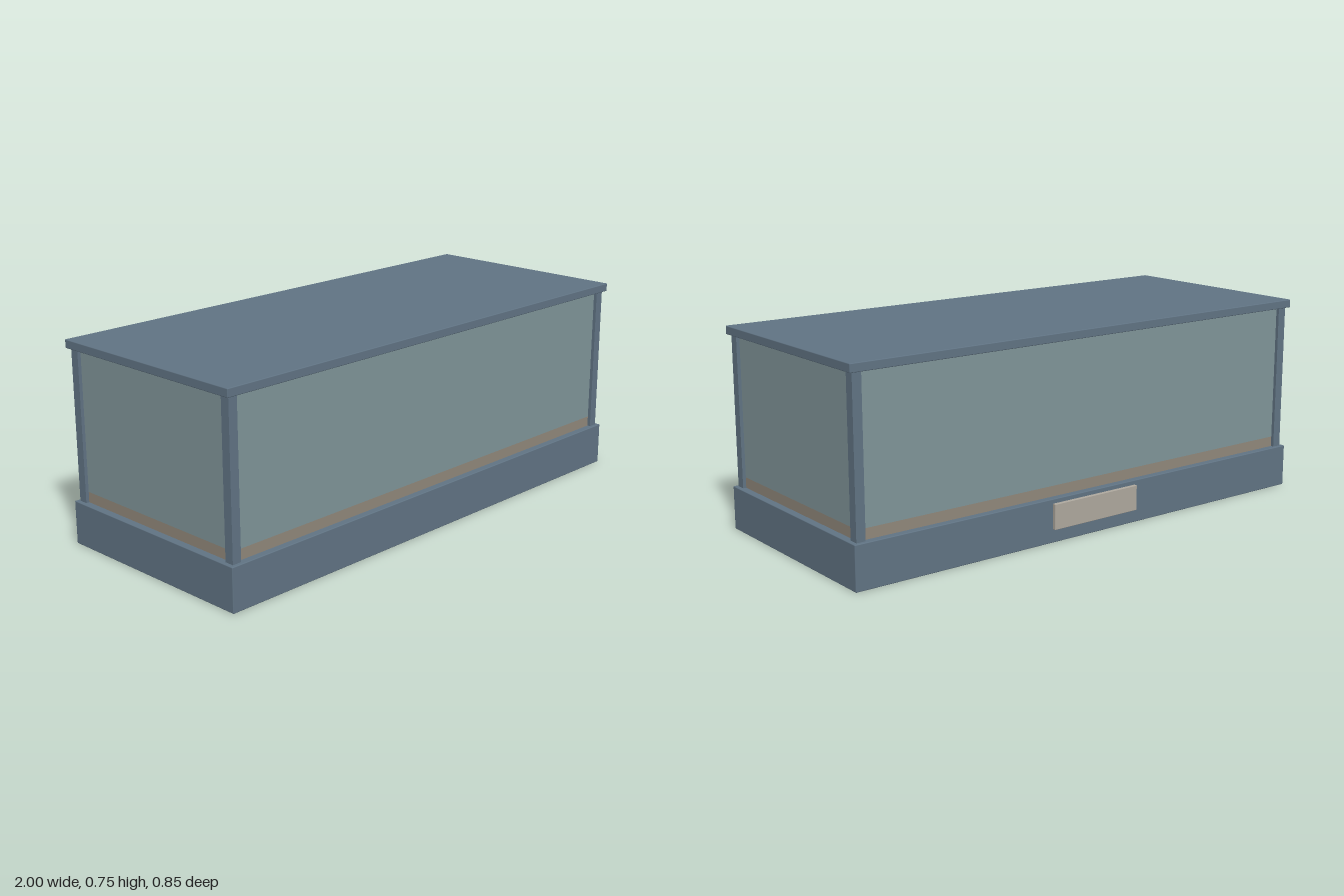
import * as THREE from 'three';
import { RoundedBoxGeometry } from 'three/addons/geometries/RoundedBoxGeometry.js';

const material = (name, color) => {
  const m = new THREE.MeshStandardMaterial({ color });
  m.name = name;
  return m;
};

export function createModel() {
  const frame = material('slate frame', 0x607383);
  const glass = material('grey green glass', 0x7f9498);
  const sand = material('sand behind glass', 0x90877a);
  const plate = material('pale metal', 0xada79d);

  const model = new THREE.Group();
  model.name = 'displayCase';

  // Box given by its limits on each axis, with an optional tiny edge radius
  function box(name, mat, [x0, x1], [y0, y1], [z0, z1], radius = 0) {
    const size = [x1 - x0, y1 - y0, z1 - z0];
    const geometry = radius
      ? new RoundedBoxGeometry(...size, 2, radius)
      : new THREE.BoxGeometry(...size);
    const mesh = new THREE.Mesh(geometry, mat);
    mesh.name = name;
    mesh.position.set((x0 + x1) / 2, (y0 + y1) / 2, (z0 + z1) / 2);
    model.add(mesh);
  }

  // Plinth and lid
  box('base', frame, [-1, 1], [0, 0.161], [-0.411, 0.425], 0.003);
  box('lid', frame, [-1, 1], [0.719, 0.75], [-0.411, 0.425], 0.003);

  // Corner posts
  const mid = 0.007;
  for (const sx of [-1, 1]) {
    for (const sz of [-1, 1]) {
      const x = sx * 0.968, z = mid + sz * 0.387;
      box('cornerPost', frame, [x - 0.0175, x + 0.0175], [0.16, 0.72], [z - 0.0175, z + 0.0175]);
    }
  }

  // Glass walls, each with the sand bed showing along its foot
  const layers = [['sandStrip', sand, [0.16, 0.2]], ['glassPane', glass, [0.2, 0.72]]];
  for (const [name, mat, height] of layers) {
    for (const s of [-1, 1]) {
      const z = mid + s * 0.387, x = s * 0.968;
      box(name, mat, [-0.955, 0.955], height, [z - 0.005, z + 0.005]);
      box(name, mat, [x - 0.005, x + 0.005], height, [mid - 0.373, mid + 0.373]);
    }
  }

  // Blank plaque on the back of the plinth
  box('plaque', plate, [-0.195, 0.19], [0.05, 0.145], [-0.425, -0.411], 0.002);

  return model;
}
